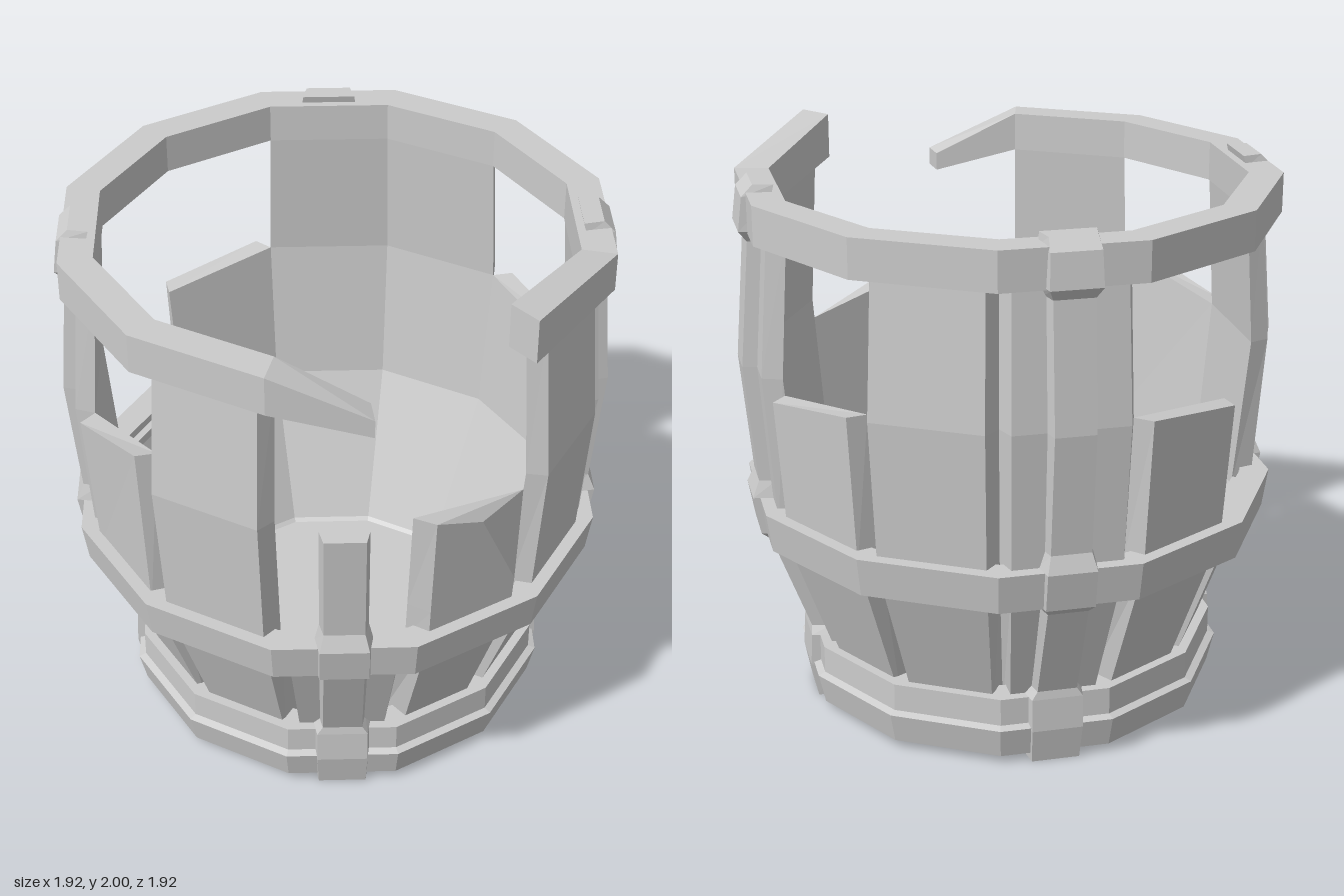
import * as THREE from 'three';

const SIDES = 12, STEP = Math.PI / 6, C15 = Math.cos(STEP / 2);
const mat = new THREE.MeshStandardMaterial({ color: 0xcccccc, flatShading: true });

// Skins a list of equal-length point rings and caps both ends.
function loft(rings) {
  const pos = [];
  const tri = (a, b, c) => pos.push(...a, ...b, ...c);
  for (let s = 0; s < rings.length - 1; s++) {
    const a = rings[s], b = rings[s + 1], n = a.length;
    for (let i = 0; i < n; i++) {
      const j = (i + 1) % n;
      tri(a[i], a[j], b[j]);
      tri(a[i], b[j], b[i]);
    }
  }
  const first = rings[0], last = rings[rings.length - 1];
  for (let i = 1; i < first.length - 1; i++) {
    tri(first[0], first[i + 1], first[i]);
    tri(last[0], last[i], last[i + 1]);
  }
  const g = new THREE.BufferGeometry();
  g.setAttribute('position', new THREE.Float32BufferAttribute(pos, 3));
  g.computeVertexNormals();
  return g;
}

// Barrel wall: [height, outer distance, inner distance]
const WALL = [[0.12, 0.645, 0.53], [0.75, 0.87, 0.79], [1.3, 0.91, 0.84], [1.8, 0.875, 0.81]];

function wallAt(y, col) {
  let i = 0;
  while (i < WALL.length - 2 && y > WALL[i + 1][0]) i++;
  const t = (y - WALL[i][0]) / (WALL[i + 1][0] - WALL[i][0]);
  return THREE.MathUtils.lerp(WALL[i][col], WALL[i + 1][col], t);
}

// One stave, with its own top height on each edge; a chipped one loses its outer right corner
function stave(hL, hR, chipped) {
  const narrow = chipped ? 0.195 : 0.22;
  const ring = (yl, yr, right = 1) => {
    const corner = (y, col, side) => {
      const d = wallAt(y, col);
      return [side * d * (col === 1 ? narrow : 0.268), y, d];
    };
    return [corner(yl, 1, -1), corner(yr, 1, right), corner(yr, 2, 1), corner(yl, 2, -1)];
  };
  const low = Math.min(hL, hR);
  const levels = WALL.map(w => w[0]).filter(y => y < low - 0.01);
  if (chipped) levels.push(0.9);
  return loft([...levels.map(y => ring(y, y)), ring(hL, hR, chipped ? 0.05 : 1)]);
}

// Vertical strap: [height, outer distance, half width, thickness]
const STRAP = [
  [0, 0.735, 0.085, 0.1], [0.13, 0.76, 0.09, 0.08], [0.25, 0.755, 0.09, 0.08], [0.28, 0.75, 0.07, 0.07],
  [0.64, 0.885, 0.07, 0.06], [0.67, 0.92, 0.085, 0.08], [0.81, 0.945, 0.085, 0.08], [0.87, 0.92, 0.07, 0.06],
  [1.3, 0.96, 0.07, 0.06], [1.75, 0.925, 0.07, 0.06], [1.79, 0.955, 0.088, 0.08], [1.91, 0.94, 0.085, 0.1], [1.95, 0.9, 0.08, 0.07],
];

function strap(top) {
  return loft(STRAP.filter(p => p[0] <= top).map(([y, d, w, t]) =>
    [[-w, y, d], [w, y, d], [w + 0.014, y, d - t], [-w - 0.014, y, d - t]]));
}

// Full twelve-sided hoop from a closed profile of [distance, height]
function hoop(profile) {
  const pts = [...profile, profile[0]].map(([d, y]) => new THREE.Vector2(d / C15, y));
  return new THREE.LatheGeometry(pts, SIDES, STEP / 2);
}

// Section of the broken top hoop at a corner of the barrel
function hoopSection(deg, bottom, top, outer, inner) {
  const a = THREE.MathUtils.degToRad(deg);
  const p = (d, y) => [Math.sin(a) * d, y, Math.cos(a) * d];
  return [p(outer, top), p(outer, bottom), p(inner, bottom), p(inner, top)];
}

export function createModel() {
  const model = new THREE.Group();
  const add = (name, geo, turn = 0) => {
    const mesh = new THREE.Mesh(geo, mat);
    mesh.name = name;
    mesh.rotation.y = turn;
    model.add(mesh);
    return mesh;
  };

  // Staves; uneven ones by index -> [left height, right height]
  const uneven = {
    0: [0.78, 0.78], 1: [1.3, 1.23], 2: [1.87, 1.81], 4: [1.24, 1.3],
    7: [1.3, 1.25], 8: [0.78, 0.78], 10: [1.3, 1.41],
  };
  for (let k = 0; k < SIDES; k++) {
    const [l, r] = uneven[k] || [1.8, 1.8];
    add(l < 1.5 ? 'brokenStave' : 'stave', stave(l, r, k === 1), k * STEP);
  }

  // Straps on four sides, the front one snapped
  for (let q = 0; q < 4; q++) add(q ? 'strap' : 'brokenStrap', strap(q ? 2 : 1.3), q * Math.PI / 2);

  // Bottom hoop with a recessed underside, and middle hoop
  add('bottomHoop', hoop([
    [0.5, 0.11], [0.6, 0.1], [0.63, 0.03], [0.725, 0.03], [0.75, 0.14], [0.725, 0.15], [0.725, 0.25], [0.62, 0.25], [0.5, 0.13],
  ]));
  add('middleHoop', hoop([[0.82, 0.67], [0.9, 0.67], [0.92, 0.81], [0.82, 0.81]]));

  // Top hoop: raised torn end, run around the back, drooping torn end
  const sections = [hoopSection(39, 1.84, 2.0, 0.965, 0.84)];
  for (let deg = 75; deg <= 345; deg += 30) sections.push(hoopSection(deg, 1.785, 1.925, 0.957, 0.836));
  sections.push(hoopSection(365.5, 1.71, 1.775, 0.955, 0.86));
  add('brokenTopHoop', loft(sections));

  // Floor and the planks beneath it
  add('floor', new THREE.CylinderGeometry(0.575, 0.575, 0.02, SIDES, 1, false, STEP / 2)).position.y = 0.165;
  const planks = new THREE.Group();
  planks.name = 'floorPlanks';
  planks.rotation.y = STEP / 2;
  for (let i = 0; i < 6; i++) {
    const x = (i - 2.5) * 0.18, reach = Math.abs(x) + 0.05;
    const mesh = new THREE.Mesh(new THREE.BoxGeometry(0.145, 0.03, 2 * Math.sqrt(0.57 ** 2 - reach ** 2)), mat);
    mesh.name = 'floorPlank';
    mesh.position.set(x, 0.14, 0);
    planks.add(mesh);
  }
  model.add(planks);
  return model;
}
